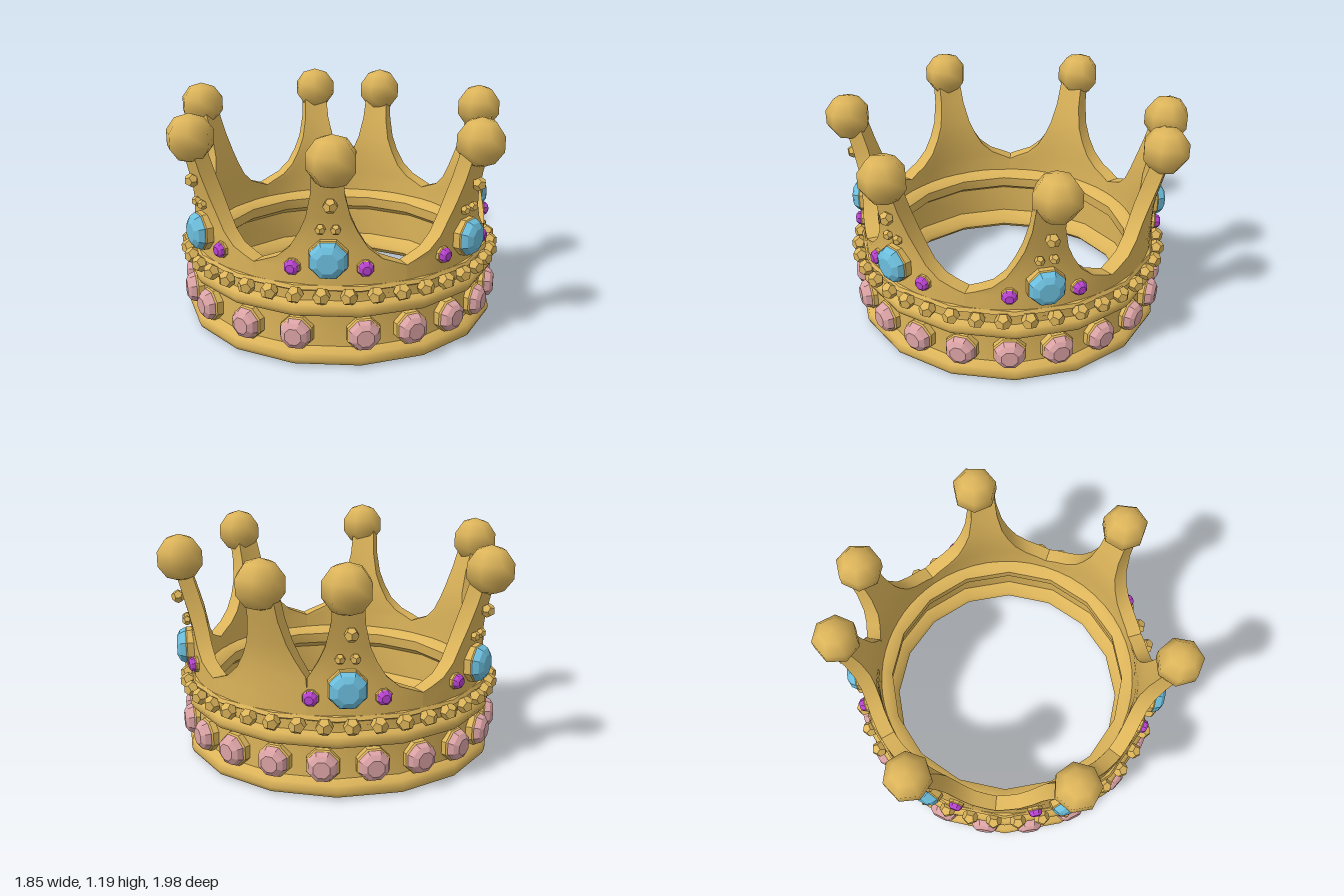
import * as THREE from 'three';
import { toCreasedNormals } from 'three/addons/utils/BufferGeometryUtils.js';

const RAD = Math.PI / 180;
const paint = (name, color) => {
  const m = new THREE.MeshStandardMaterial({ color });
  m.name = name;
  return m;
};

export function createModel() {
  const gold = paint('gold', 0xdcb45a);
  const blue = paint('blueGem', 0x6cbedd);
  const pink = paint('pinkGem', 0xdca3a5);
  const purple = paint('purpleGem', 0xb843d0);

  const crown = new THREE.Group();
  crown.name = 'crown';
  crown.position.x = -0.02;

  // puts a part on the ring at an angle (degrees from the front), facing outward
  const place = (name, geo, mat, deg, y, r, parent = crown) => {
    const m = new THREE.Mesh(geo, mat);
    m.name = name;
    m.position.set(Math.sin(deg * RAD) * r, y, Math.cos(deg * RAD) * r);
    m.rotation.y = deg * RAD;
    parent.add(m);
  };

  // faceted lathe shape with its axis pointing outward
  const faceted = (pts, sides) => {
    const g = new THREE.LatheGeometry(pts.map(p => new THREE.Vector2(...p)), sides)
      .rotateX(Math.PI / 2).rotateZ(Math.PI / sides).toNonIndexed();
    g.computeVertexNormals();
    return g;
  };
  const gemGeo = (r, d) => faceted([[r, 0], [r, d * 0.5], [r * 0.87, d * 0.8], [r * 0.55, d], [0, d]], 8);
  const settingGeo = (r, d, rim) =>
    faceted([[r * rim, -0.02], [r * rim, d * 0.35], [r * 0.95, d * 0.5]], 8);
  const jewel = (name, r, d, rim, mat) => {
    const gem = gemGeo(r, d), setting = settingGeo(r, d, rim);
    return (deg, y, rad) => {
      const g = new THREE.Group();
      g.name = name;
      crown.add(g);
      place(name + 'Stone', gem, mat, deg, y, rad, g);
      place(name + 'Setting', setting, gold, deg, y, rad, g);
    };
  };

  // band with a rounded foot, a recessed wall and a double upper moulding
  const profile = [
    [0.67, 0.06], [0.7, 0.03], [0.76, 0.01], [0.82, 0.005], [0.85, 0.02], [0.86, 0.045],
    [0.85, 0.08], [0.81, 0.1], [0.805, 0.26], [0.84, 0.275], [0.855, 0.305], [0.845, 0.335],
    [0.82, 0.35], [0.82, 0.4], [0.835, 0.41], [0.825, 0.43], [0.78, 0.44], [0.71, 0.43],
    [0.67, 0.4], [0.675, 0.34], [0.735, 0.3], [0.735, 0.13], [0.68, 0.09], [0.67, 0.06],
  ].map(p => new THREE.Vector2(...p));
  const band = new THREE.Mesh(toCreasedNormals(new THREE.LatheGeometry(profile, 16), 50 * RAD), gold);
  band.name = 'band';
  crown.add(band);

  // pink gems around the band
  const pinkJewel = jewel('bandGem', 0.082, 0.085, 1.09, pink);
  for (let i = 0; i < 18; i++) pinkJewel(1.2 + i * 17.4, 0.175, 0.792);
  [318.5, 337.8].forEach(a => pinkJewel(a, 0.175, 0.792));

  // row of studs above the band
  const beadGeo = new THREE.DodecahedronGeometry(0.045);
  for (let i = 0; i < 40; i++) place('bandStud', beadGeo, gold, 5 + i * 9, 0.388, 0.845);

  // point cross-sections: height, half width in degrees, outer radius, thickness
  const rows = [
    [0.38, 30, 0.81, 0.085], [0.51, 30, 0.81, 0.08], [0.53, 24, 0.81, 0.08],
    [0.56, 18.5, 0.81, 0.08], [0.62, 13.5, 0.81, 0.08], [0.7, 10, 0.815, 0.08],
    [0.78, 7.4, 0.83, 0.085], [0.9, 5.4, 0.86, 0.085], [1.04, 4.6, 0.895, 0.08],
  ];
  const COLS = 8;
  // left and right are the angular limits shared with the neighbouring points
  const pointGeo = (left, right) => {
    const pos = [], idx = [], n = 2 * (COLS + 1);
    for (const [y, w, r, t] of rows) {
      for (let k = 0; k < n; k++) {
        const inner = k > COLS;
        const u = (inner ? n - 1 - k : k) / COLS;
        const a = THREE.MathUtils.lerp(-Math.min(w, left), Math.min(w, right), u) * RAD;
        const q = inner ? r - t : r;
        pos.push(Math.sin(a) * q, y, Math.cos(a) * q);
      }
    }
    for (let j = 0; j < rows.length - 1; j++) {
      for (let k = 0; k < n; k++) {
        const a = j * n + k, b = j * n + (k + 1) % n;
        idx.push(a, b, b + n, a, b + n, a + n);
      }
    }
    const g = new THREE.BufferGeometry();
    g.setAttribute('position', new THREE.Float32BufferAttribute(pos, 3));
    g.setIndex(idx);
    return toCreasedNormals(g, 40 * RAD);
  };

  // seven points: angle, ball angle, ball radius on the ring; the plain one has no jewels
  const points = [
    [-10.8, -9.3, 0.885], [44.3, 45, 0.875], [100.5, 102.8, 0.857], [156, 155.5, 0.86],
    [183.5, 183.2, 0.872], [239, 238.3, 0.885], [294, 294, 0.866],
  ];
  const PLAIN = 3;
  const ballGeo = new THREE.SphereGeometry(0.126, 7, 5);
  const blueJewel = jewel('pointGem', 0.097, 0.085, 1.05, blue);
  const purpleJewel = jewel('sideGem', 0.039, 0.05, 1.1, purple);
  const largeStud = new THREE.DodecahedronGeometry(0.037);
  const smallStud = new THREE.DodecahedronGeometry(0.027);
  points.forEach(([a, ballAngle, ballRadius], i) => {
    const next = i < 6 ? points[i + 1][0] : points[0][0] + 360;
    const prev = i > 0 ? points[i - 1][0] : points[6][0] - 360;
    place('point', pointGeo((a - prev) / 2, (next - a) / 2), gold, a, 0, 0);
    place('pointBall', ballGeo, gold, ballAngle, 1.07, ballRadius);
    if (i === PLAIN) return;
    blueJewel(a, 0.575, 0.81);
    place('pointStud', largeStud, gold, a + 0.9, 0.855, 0.875);
    for (const s of [-1, 1]) {
      purpleJewel(a + s * 12.4, 0.522, 0.805);
      place('smallPointStud', smallStud, gold, a + s * 2.5, 0.725, 0.835);
    }
  });

  const model = new THREE.Group();
  model.name = 'model';
  model.add(crown);
  return model;
}
